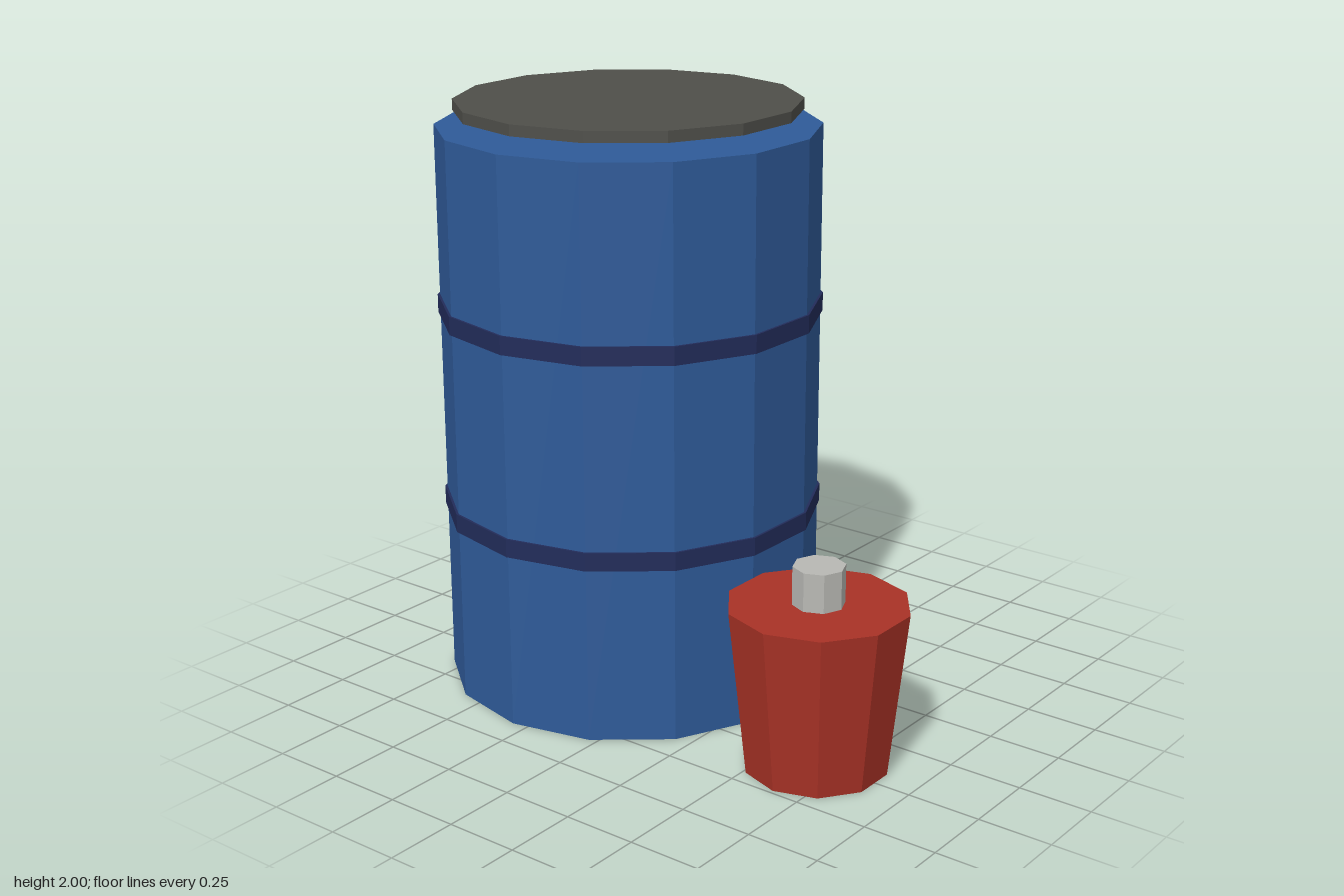
import * as THREE from 'three';

export function createModel() {
  const model = new THREE.Group();
  model.name = 'barrelAndCanister';

  const mat = (name, color) => {
    const m = new THREE.MeshStandardMaterial({ color, flatShading: true });
    m.name = name;
    return m;
  };
  const blue = mat('barrelBlue', 0x2f5b99);
  const navy = mat('bandNavy', 0x222c5a);
  const charcoal = mat('lidCharcoal', 0x4f4f4a);
  const red = mat('canisterRed', 0xa93226);
  const grey = mat('capGrey', 0xb8b8b4);

  // Faceted upright cylinder spanning y0..y1
  const drum = (parent, name, material, rTop, rBottom, y0, y1, sides) => {
    const mesh = new THREE.Mesh(new THREE.CylinderGeometry(rTop, rBottom, y1 - y0, sides), material);
    mesh.name = name;
    mesh.position.y = (y0 + y1) / 2;
    parent.add(mesh);
  };

  // Barrel with two hoops and a lid hovering just above the rim
  const barrel = new THREE.Group();
  barrel.name = 'barrel';
  barrel.position.set(-0.305, 0, 0);
  drum(barrel, 'barrelBody', blue, 0.637, 0.637, 0, 1.917, 14);
  drum(barrel, 'lowerBand', navy, 0.645, 0.645, 0.598, 0.66, 14);
  drum(barrel, 'upperBand', navy, 0.645, 0.645, 1.281, 1.343, 14);
  drum(barrel, 'lid', charcoal, 0.574, 0.574, 1.963, 2, 14);

  // Tapered canister with a small cap
  const canister = new THREE.Group();
  canister.name = 'canister';
  canister.position.set(0.65, 0, 0.252);
  drum(canister, 'canisterBody', red, 0.295, 0.235, 0, 0.555, 10);
  drum(canister, 'canisterCap', grey, 0.085, 0.085, 0.555, 0.683, 8);

  model.add(barrel, canister);
  return model;
}
